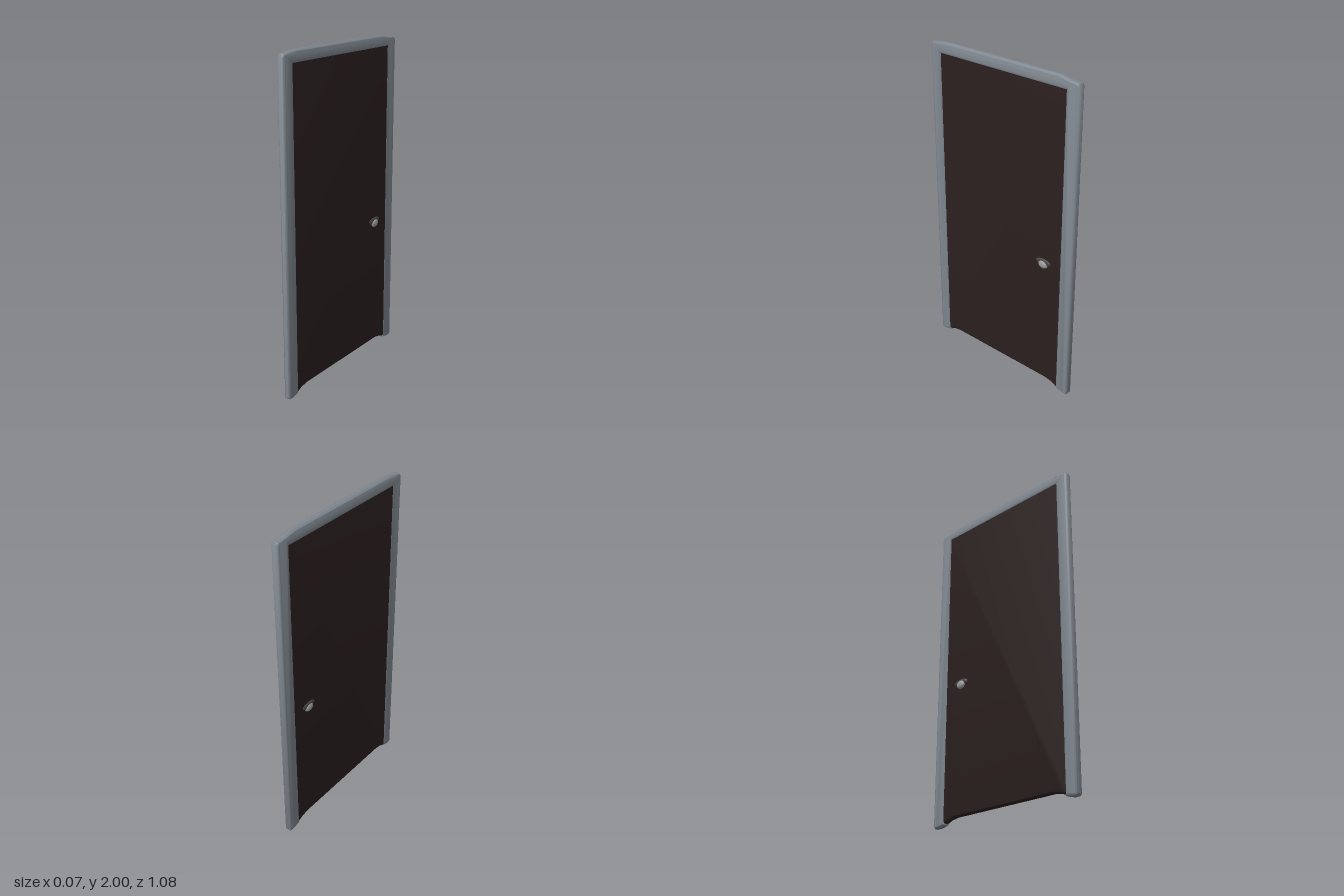
import * as THREE from 'three';
import { toCreasedNormals } from 'three/addons/utils/BufferGeometryUtils.js';

const CENTRE_X = -0.005;

// Extrudes an outline given as [z, y] points along x, with rounded edges.
function slab(points, halfThickness, radius) {
  const shape = new THREE.Shape(points.map(([z, y]) => new THREE.Vector2(-z, y)));
  const depth = 2 * (halfThickness - radius);
  const geometry = new THREE.ExtrudeGeometry(shape, {
    depth, bevelEnabled: true, bevelThickness: radius, bevelSize: radius,
    bevelOffset: -radius, bevelSegments: 5
  });
  geometry.translate(0, 0, -depth / 2);
  geometry.rotateY(Math.PI / 2);
  return geometry;
}

export function createModel() {
  const group = new THREE.Group();
  const frameGrey = new THREE.MeshStandardMaterial({ color: 0x7f878f });
  frameGrey.name = 'frame grey';
  const doorBrown = new THREE.MeshStandardMaterial({ color: 0x2c2020 });
  doorBrown.name = 'door brown';
  const knobSilver = new THREE.MeshStandardMaterial({ color: 0x969b9c });
  knobSilver.name = 'knob silver';
  const plateDark = new THREE.MeshStandardMaterial({ color: 0x4a4444 });
  plateDark.name = 'plate dark';

  const add = (name, geometry, material, parent = group) => {
    const mesh = new THREE.Mesh(geometry, material);
    mesh.name = name;
    parent.add(mesh);
    return mesh;
  };

  // Frame: two posts and a lintel that is a little thinner than the posts
  const frame = slab([
    [0.54, 0.015], [0.53, 0.004], [0.5, 0.003], [0.456, 0.015],
    [0.456, 1.927], [-0.448, 1.927],
    [-0.448, 0.012], [-0.5, 0.002], [-0.53, 0.002], [-0.54, 0.015],
    [-0.54, 1.965], [-0.53, 1.98], [-0.47, 1.987], [-0.4, 2],
    [0.42, 2], [0.47, 1.995], [0.53, 1.988], [0.543, 1.97]
  ], 0.0235, 0.017);
  const pos = frame.attributes.position;
  for (let i = 0; i < pos.count; i++) {
    if (Math.abs(pos.getZ(i)) < 0.43) pos.setX(i, pos.getX(i) * 0.9);
  }
  add('frame', toCreasedNormals(frame, 0.7), frameGrey).position.x = CENTRE_X;

  // Door leaf, with a bottom edge that dips towards the posts
  const leaf = slab([
    [0.48, 0.018], [0.455, 0.022], [0.42, 0.036], [0.37, 0.044],
    [-0.36, 0.044], [-0.41, 0.036], [-0.45, 0.02], [-0.48, 0.016],
    [-0.48, 1.955], [0.48, 1.955]
  ], 0.02, 0.014);
  add('door', toCreasedNormals(leaf, 0.7), doorBrown).position.x = CENTRE_X;

  // Back plate and knob on each face
  for (const side of [1, -1]) {
    const handle = new THREE.Group();
    handle.name = side > 0 ? 'leftHandle' : 'rightHandle';
    handle.position.set(CENTRE_X + side * 0.02, 0.855, -0.33);
    group.add(handle);

    const plate = add('backPlate', new THREE.SphereGeometry(1, 24, 12), plateDark, handle);
    plate.scale.set(0.009, 0.022, 0.054);
    plate.position.y = 0.008;

    const knob = add('knob', new THREE.SphereGeometry(1, 24, 16), knobSilver, handle);
    knob.scale.set(0.017, 0.027, 0.034);
    knob.position.set(0, -0.006, 0);
  }
  return group;
}
